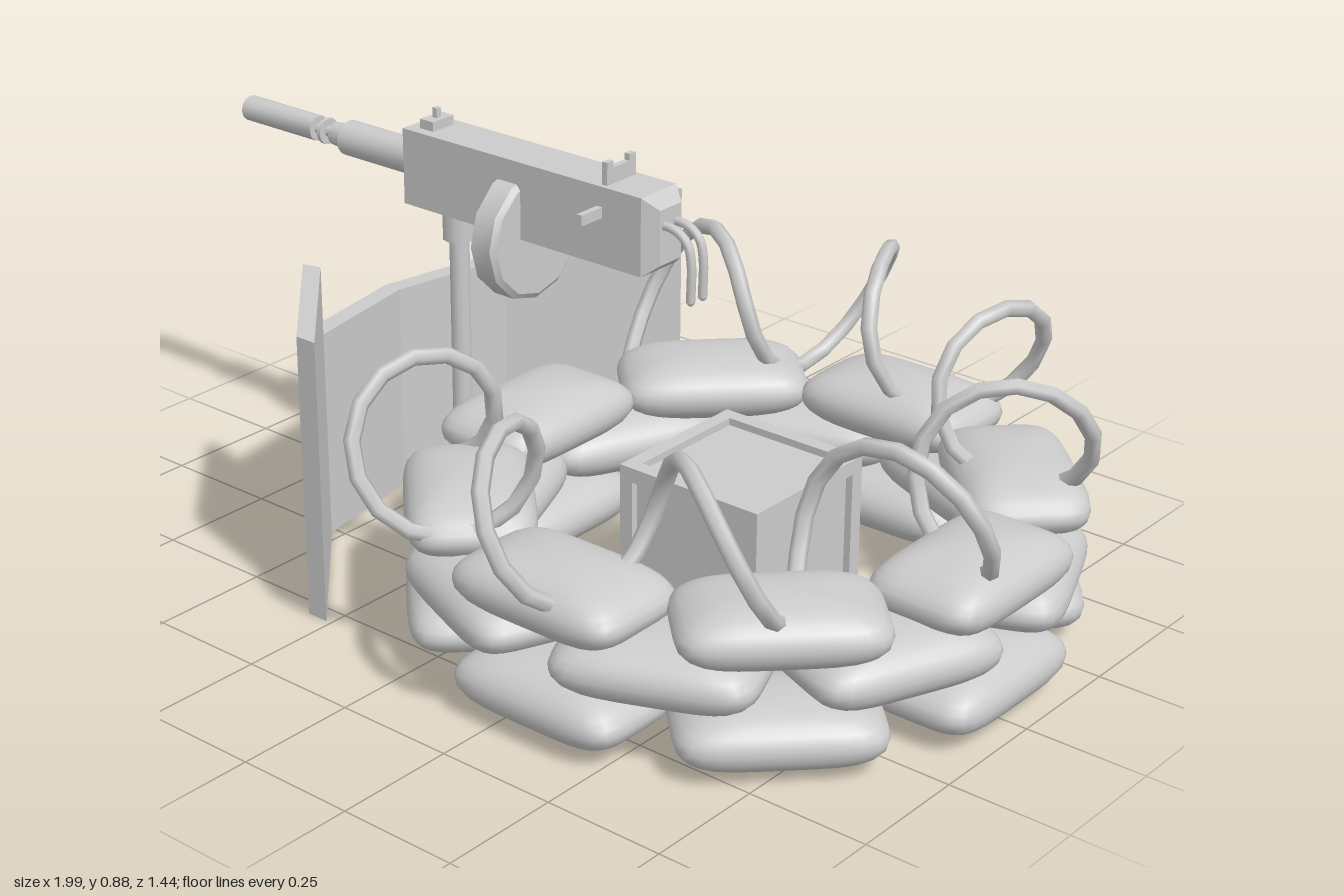
import * as THREE from 'three';
import { mergeVertices, toCreasedNormals } from 'three/addons/utils/BufferGeometryUtils.js';

const grey = new THREE.MeshStandardMaterial({ color: 0xcccccc });
const RING_X = 0.335;

function add(parent, name, geometry, x = 0, y = 0, z = 0) {
  const mesh = new THREE.Mesh(geometry, grey);
  mesh.name = name;
  mesh.position.set(x, y, z);
  parent.add(mesh);
  return mesh;
}

const box = (w, h, d) => new THREE.BoxGeometry(w, h, d);

// Solid of revolution along x from [x, radius] points given in rising x
function turnedX(points, sides) {
  const g = new THREE.LatheGeometry(points.map(([x, r]) => new THREE.Vector2(r, x)), sides);
  return toCreasedNormals(g.rotateZ(-Math.PI / 2), 0.6);
}

// Pillow: rounded rectangle in plan, lens-shaped in section
function pillow(halfRadial, halfHeight, halfLength) {
  let g = new THREE.BoxGeometry(2, 2, 2, 10, 8, 10);
  g.deleteAttribute('uv');
  g.deleteAttribute('normal');
  g = mergeVertices(g);
  const p = g.attributes.position, n = 5, m = 2.1;
  for (let i = 0; i < p.count; i++) {
    const x = p.getX(i), y = p.getY(i), z = p.getZ(i);
    const plan = Math.pow(Math.abs(x) ** n + Math.abs(z) ** n, m / n);
    const k = 1 / Math.pow(plan + Math.abs(y) ** m, 1 / m);
    p.setXYZ(i, x * k * halfRadial, y * k * halfHeight, z * k * halfLength);
  }
  g.computeVertexNormals();
  return g;
}

// Three staggered courses of eight sandbags
function buildSandbags() {
  const ring = new THREE.Group();
  ring.name = 'sandbagRing';
  const bag = pillow(0.126, 0.068, 0.195);
  [0.07, 0.182, 0.273].forEach((y, layer) => {
    for (let i = 0; i < 8; i++) {
      const a = (i + (layer % 2) / 2) * Math.PI / 4;
      const mesh = add(ring, 'sandbag', bag, RING_X + 0.525 * Math.cos(a), y, 0.525 * Math.sin(a));
      mesh.rotation.y = -a;
    }
  });
  return ring;
}

// Wire coil winding eight times round the ring, open behind the shield
function buildWire() {
  const points = [], turns = 8, steps = 14;
  for (let i = 0; i <= turns * steps; i++) {
    const t = i / steps;
    const a = THREE.MathUtils.degToRad(-147.3 + 37.14 * t);
    const p = 2 * Math.PI * (t - 0.25);
    const r = 0.57 + 0.145 * Math.cos(p);
    points.push(new THREE.Vector3(0.27 + r * Math.cos(a), 0.425 + 0.145 * Math.sin(p), r * Math.sin(a)));
  }
  const curve = new THREE.CatmullRomCurve3(points);
  const wire = new THREE.Group();
  wire.name = 'wireCoil';
  add(wire, 'wire', new THREE.TubeGeometry(curve, turns * steps, 0.017, 6));
  return wire;
}

// Crate: twelve beams around recessed panels
function buildCrate() {
  const crate = new THREE.Group();
  crate.name = 'crate';
  const s = 0.33, b = 0.03, o = (s - b) / 2;
  crate.position.set(0.33, s / 2 + 0.003, 0);
  add(crate, 'cratePanels', box(s - 0.03, s - 0.03, s - 0.03));
  for (const u of [-o, o]) {
    for (const v of [-o, o]) {
      add(crate, 'crateBeam', box(s, b, b), 0, u, v);
      add(crate, 'crateBeam', box(b, s, b), u, 0, v);
      add(crate, 'crateBeam', box(b, b, s), u, v, 0);
    }
  }
  return crate;
}

// Upright plate extruded from an [x, z] outline
function plate(outline, height) {
  const shape = new THREE.Shape(outline.map(([x, z]) => new THREE.Vector2(x, -z)));
  const g = new THREE.ExtrudeGeometry(shape, { depth: height, bevelEnabled: false });
  return g.rotateX(-Math.PI / 2);
}

// Angled shield: low centre, tall wings
function buildShield() {
  const shield = new THREE.Group();
  shield.name = 'shield';
  add(shield, 'shieldCentre', plate([
    [-0.565, -0.28], [-0.615, 0], [-0.565, 0.28], [-0.525, 0.27], [-0.575, 0], [-0.525, -0.27],
  ], 0.445));
  for (const s of [-1, 1]) {
    add(shield, 'shieldWing', plate([
      [-0.565, 0.28 * s], [-0.31, 0.545 * s], [-0.262, 0.545 * s], [-0.525, 0.27 * s],
    ], 0.59));
  }
  return shield;
}

function buildGun() {
  const gun = new THREE.Group();
  gun.name = 'mountedGun';

  // Post and swivel
  add(gun, 'post', new THREE.CylinderGeometry(0.021, 0.021, 0.61, 12), -0.4, 0.305, 0);
  add(gun, 'swivel', new THREE.CylinderGeometry(0.034, 0.034, 0.07, 12), -0.4, 0.64, 0);

  // Receiver with tapered rear cap
  add(gun, 'receiver', box(0.62, 0.16, 0.105), -0.19, 0.75, 0);
  const cap = box(0.03, 0.16, 0.105), p = cap.attributes.position;
  for (let i = 0; i < p.count; i++) {
    if (p.getX(i) > 0) p.setXYZ(i, p.getX(i), p.getY(i) * 0.7, p.getZ(i) * 0.6);
  }
  cap.computeVertexNormals();
  add(gun, 'receiverCap', cap, 0.135, 0.75, 0);

  // Stepped barrel
  add(gun, 'barrelJacket', turnedX([
    [-0.745, 0], [-0.745, 0.024], [-0.705, 0.028], [-0.705, 0.037], [-0.5, 0.037], [-0.5, 0],
  ], 16), 0, 0.75, 0);
  add(gun, 'barrel', turnedX([[-0.81, 0.012], [-0.74, 0.012]], 10), 0, 0.75, 0);
  add(gun, 'barrelCollar', turnedX([
    [-0.774, 0], [-0.774, 0.028], [-0.765, 0.028], [-0.765, 0],
  ], 12), 0, 0.75, 0);
  add(gun, 'muzzle', turnedX([
    [-1, 0], [-1, 0.027], [-0.795, 0.027], [-0.795, 0],
  ], 12), 0, 0.75, 0);

  // Drum magazine
  add(gun, 'drum', turnedX([
    [-0.252, 0], [-0.252, 0.122], [-0.243, 0.134], [-0.194, 0.134], [-0.185, 0.122], [-0.185, 0],
  ], 12), 0, 0.663, 0);

  // Sights
  add(gun, 'frontSightBase', box(0.035, 0.02, 0.06), -0.455, 0.84, 0);
  add(gun, 'frontSightPost', box(0.012, 0.04, 0.012), -0.455, 0.85, 0);
  add(gun, 'rearSightBase', box(0.013, 0.035, 0.085), 0.022, 0.845, 0);
  for (const s of [-1, 1]) {
    add(gun, 'rearSightEar', box(0.013, 0.05, 0.018), 0.022, 0.851, 0.033 * s);
  }

  // Cocking lever
  add(gun, 'cockingLever', box(0.013, 0.022, 0.07), 0.018, 0.778, 0.077);

  // Twin grips
  for (const s of [-1, 1]) {
    const z = 0.018 * s;
    const path = new THREE.CatmullRomCurve3([
      [0.135, 0.772], [0.175, 0.77], [0.205, 0.75], [0.215, 0.715], [0.215, 0.635],
    ].map(([x, y]) => new THREE.Vector3(x, y, z)));
    add(gun, 'grip', new THREE.TubeGeometry(path, 14, 0.009, 8));
    add(gun, 'gripEnd', new THREE.SphereGeometry(0.009, 8, 6), 0.215, 0.635, z);
  }
  return gun;
}

export function createModel() {
  const model = new THREE.Group();
  model.name = 'gunEmplacement';
  model.add(buildSandbags(), buildWire(), buildCrate(), buildShield(), buildGun());
  for (const part of model.children) part.position.z -= 0.006;
  return model;
}
